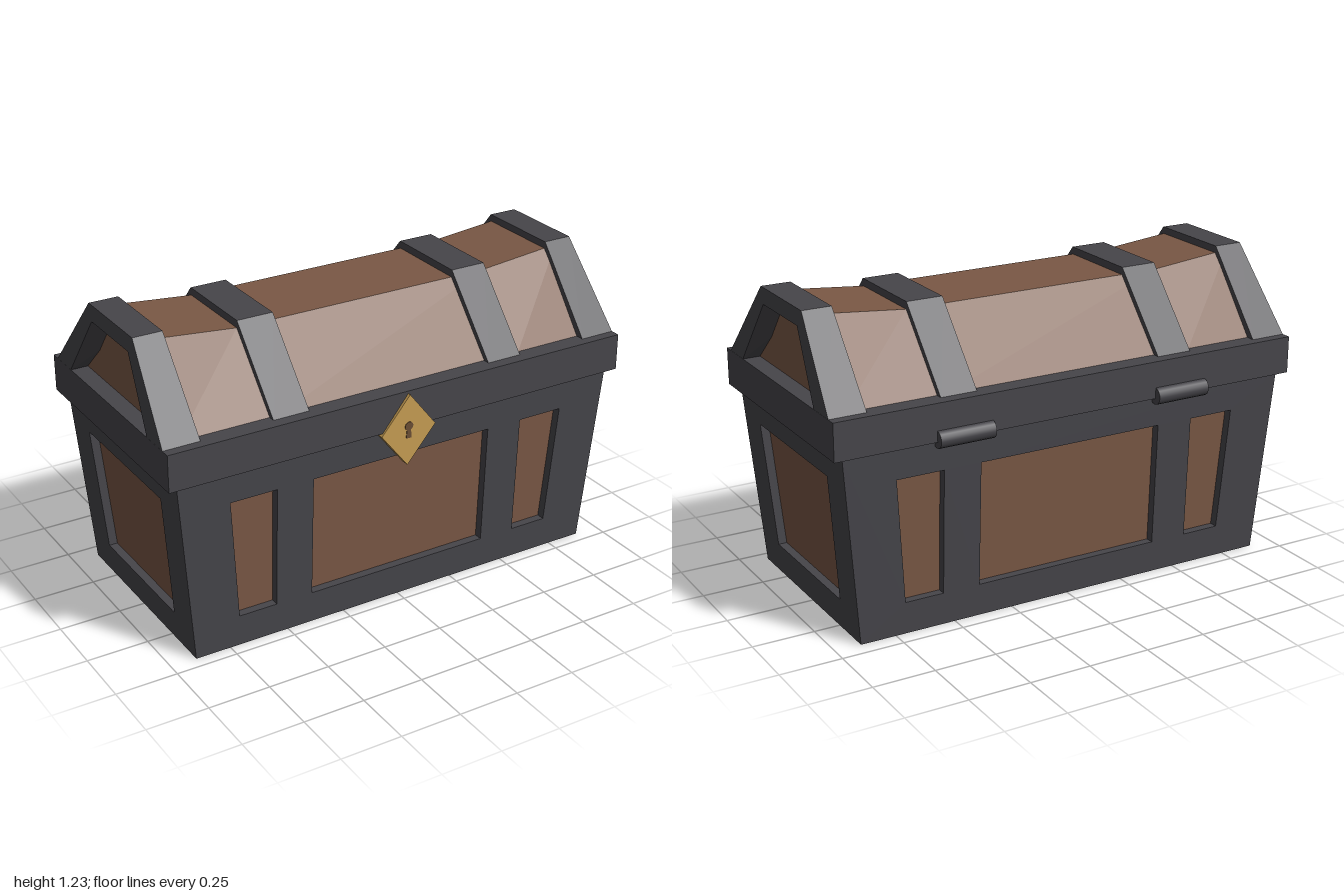
import * as THREE from 'three';

const metal = new THREE.MeshStandardMaterial({ color: 0x46454a });
const wood = new THREE.MeshStandardMaterial({ color: 0x7a5845 });
const brass = new THREE.MeshStandardMaterial({ color: 0xc99f54 });
const keyholeBrown = new THREE.MeshStandardMaterial({ color: 0x6b4f35 });
metal.name = 'dark metal';
wood.name = 'wood';
brass.name = 'brass';
keyholeBrown.name = 'keyhole brown';

const lerp = THREE.MathUtils.lerp;
const H = 0.76;                      // height of the body
const T = 0.035;                     // depth of the panel recesses
const halfX = (y) => lerp(0.895, 0.96, y / H);
const halfZ = (y) => lerp(0.4425, 0.4725, y / H);

const points = (list) => list.map(([x, y]) => new THREE.Vector2(x, y));
const extrude = (shape, depth) => new THREE.ExtrudeGeometry(shape, { depth, bevelEnabled: false, curveSegments: 10 });

// Move every vertex by a rule and refresh the flat normals
function reshape(geometry, rule) {
  const g = geometry.index ? geometry.toNonIndexed() : geometry;
  const p = g.attributes.position;
  const v = new THREE.Vector3();
  for (let i = 0; i < p.count; i++) {
    v.fromBufferAttribute(p, i);
    rule(v);
    p.setXYZ(i, v.x, v.y, v.z);
  }
  g.computeVertexNormals();
  return g;
}

export function createModel() {
  const model = new THREE.Group();
  model.name = 'chest';
  const chest = new THREE.Group();
  chest.name = 'chestBody';
  chest.position.z = 0.007;
  model.add(chest);

  function add(name, geometry, material, parent = chest) {
    const mesh = new THREE.Mesh(geometry, material);
    mesh.name = name;
    parent.add(mesh);
    return mesh;
  }

  // Tapered block that follows the body walls, inset from them
  function taperedBlock(y0, y1, inset) {
    return reshape(new THREE.BoxGeometry(2, 1, 2), (v) => {
      v.y = v.y > 0 ? y1 : y0;
      v.x *= halfX(v.y) - inset;
      v.z *= halfZ(v.y) - inset;
    });
  }
  add('woodPanels', taperedBlock(0.04, H, T), wood);
  add('base', taperedBlock(0, 0.06, T - 0.001), metal);

  // Leaning wall frames with panel openings
  function wallFrame(name, width, distance, holes, turn) {
    const shape = new THREE.Shape(points([
      [-width(0), 0], [width(0), 0], [width(H), H], [-width(H), H],
    ]));
    holes.forEach((h) => shape.holes.push(new THREE.Path(points(h))));
    const g = reshape(extrude(shape, T), (v) => { v.z += distance(v.y) - T; });
    add(name, g, metal).rotation.y = turn;
  }
  const outerHole = (s) => [[s * 0.55, 0.13], [s * 0.71, 0.13], [s * 0.745, 0.635], [s * 0.55, 0.635]];
  const longHoles = [
    [[-0.395, 0.13], [0.395, 0.13], [0.395, 0.635], [-0.395, 0.635]],
    outerHole(1), outerHole(-1),
  ];
  const sideHoles = [[[-0.29, 0.125], [0.29, 0.125], [0.3125, 0.638], [-0.3125, 0.638]]];
  const sideWidth = (y) => halfZ(y) - T;
  wallFrame('frontFrame', halfX, halfZ, longHoles, 0);
  wallFrame('backFrame', halfX, halfZ, longHoles, Math.PI);
  wallFrame('leftFrame', sideWidth, halfX, sideHoles, Math.PI / 2);
  wallFrame('rightFrame', sideWidth, halfX, sideHoles, -Math.PI / 2);

  // Rim where the lid meets the body
  add('rim', new THREE.BoxGeometry(2, 0.15, 0.99).translate(0, 0.835, 0), metal);

  // Wooden lid, level in the middle and rising towards the ends
  const lid = new THREE.Group();
  lid.name = 'lid';
  chest.add(lid);
  const stations = [[-1, 1.21], [-0.55, 1.175], [0.55, 1.175], [1, 1.21]];
  const lidWood = reshape(new THREE.BoxGeometry(3, 1, 2, 3, 1, 1), (v) => {
    const i = Math.round(v.x + 1.5);
    const [x, top] = stations[i];
    const upper = v.y > 0;
    const end = upper ? 0.905 : 0.93;
    v.x = Math.abs(x) === 1 ? Math.sign(x) * end : x;
    v.y = upper ? top : 0.9;
    v.z *= upper ? 0.182 : 0.428;
  });
  add('lidPanels', lidWood, wood, lid);

  // Solid bands across the lid
  for (const s of [-1, 1]) {
    const band = new THREE.Shape(points([[-0.456, 0.9], [0.456, 0.9], [0.185, 1.205], [-0.185, 1.205]]));
    const g = extrude(band, 0.15).rotateY(Math.PI / 2).translate(s * 0.475 - 0.075, 0, 0);
    add(s > 0 ? 'leftBand' : 'rightBand', g, metal, lid);
  }

  // End arches, leaning inwards, with an opening that narrows towards the panel
  for (const s of [-1, 1]) {
    const arch = new THREE.Shape(points([
      [-0.46, 0.905], [-0.335, 0.905], [-0.155, 1.17], [0.155, 1.17],
      [0.335, 0.905], [0.46, 0.905], [0.186, 1.233], [-0.186, 1.233],
    ]));
    const g = reshape(extrude(arch, 1), (v) => {
      const t = v.z;
      if (v.y > 1 && v.y < 1.2 && t < 0.5) {
        v.y = 1.115;
        v.x *= 0.8;
      }
      const outer = lerp(1, 0.97, (v.y - 0.905) / 0.328);
      v.z = t > 0.5 ? outer : 0.85;
    });
    add(s > 0 ? 'leftEndArch' : 'rightEndArch', g, metal, lid).rotation.y = s * Math.PI / 2;
  }

  // Hinges at the back
  for (const s of [-1, 1]) {
    const g = new THREE.CylinderGeometry(0.035, 0.035, 0.23, 16).rotateZ(Math.PI / 2);
    add(s > 0 ? 'leftHinge' : 'rightHinge', g, metal).position.set(s * 0.475, 0.77, -0.49);
  }

  // Diamond lock plate, leaning slightly, with a keyhole
  const lock = new THREE.Group();
  lock.name = 'lock';
  chest.add(lock);
  const lean = (front) => (v) => { v.z += front + (v.y - 0.75) * 0.035; };
  const diamond = new THREE.Shape(points([[0, 0.6], [0.12, 0.75], [0, 0.9], [-0.12, 0.75]]));
  add('lockPlate', reshape(extrude(diamond, 0.035), lean(0.468)), brass, lock);
  const keyhole = new THREE.Shape();
  keyhole.moveTo(-0.012, 0.717);
  keyhole.lineTo(0.012, 0.717);
  keyhole.lineTo(0.009, 0.752);
  keyhole.absarc(0, 0.768, 0.018, -Math.PI / 3, Math.PI * 4 / 3, false);
  add('keyhole', reshape(extrude(keyhole, 0.004), lean(0.501)), keyholeBrown, lock);

  return model;
}
